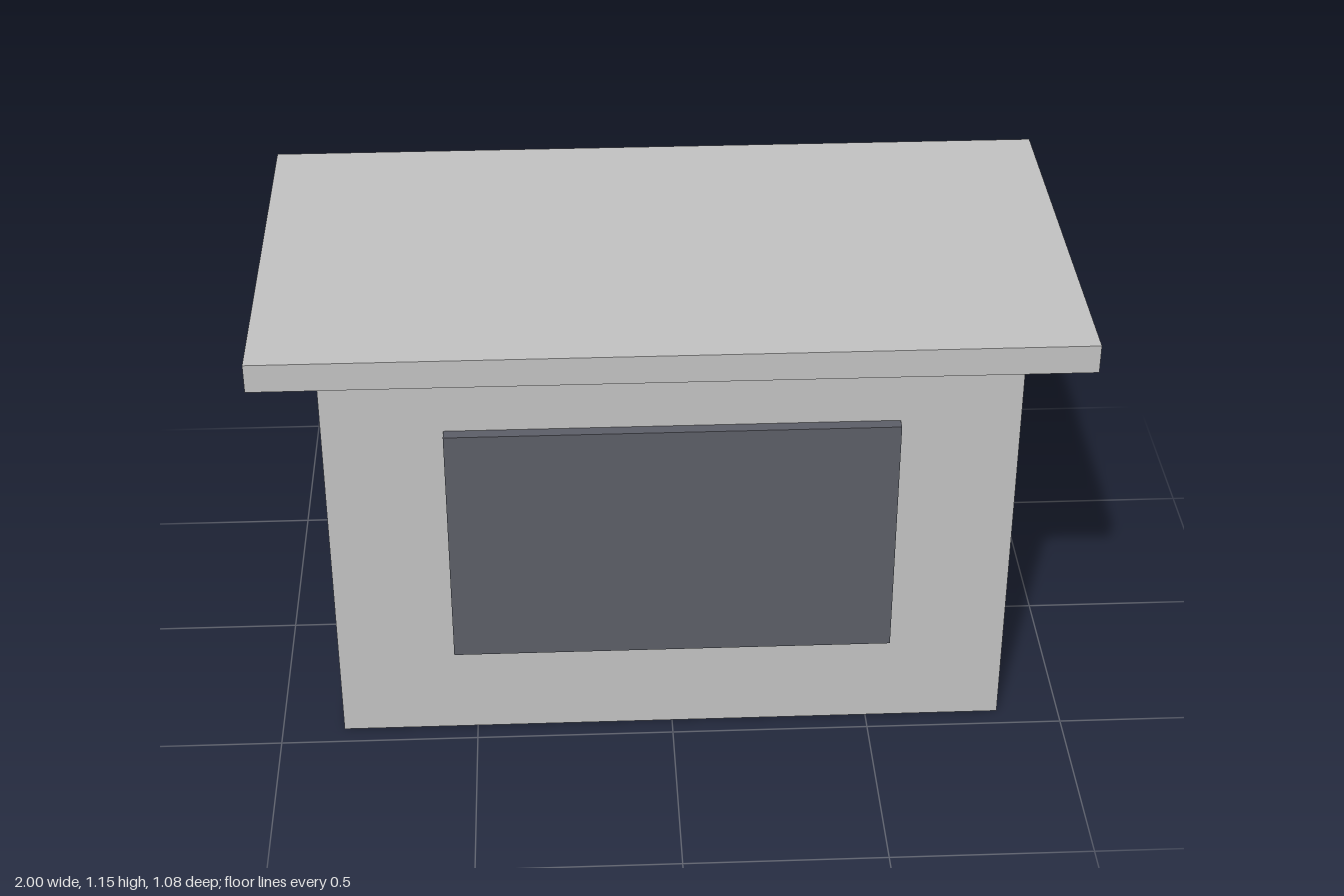
import * as THREE from 'three';

export function createModel() {
  const model = new THREE.Group();
  model.name = 'kiosk';

  const stone = new THREE.MeshStandardMaterial({ color: 0xc0c0c0 });
  stone.name = 'light grey';
  const dark = new THREE.MeshStandardMaterial({ color: 0x5b5d66 });
  dark.name = 'dark slate';

  // Box given by its size, bottom height and centre depth
  const addBox = (name, material, [w, h, d], bottom, z = 0) => {
    const mesh = new THREE.Mesh(new THREE.BoxGeometry(w, h, d), material);
    mesh.name = name;
    mesh.position.set(0, bottom + h / 2, z);
    model.add(mesh);
  };

  // Main block
  addBox('body', stone, [1.685, 1.078, 0.9], 0);
  // Overhanging flat slab
  addBox('roofSlab', stone, [2, 0.073, 1.075], 1.078);
  // Raised panel, set slightly into the front wall
  addBox('frontPanel', dark, [1.1, 0.65, 0.06], 0.252, 0.45);

  return model;
}
